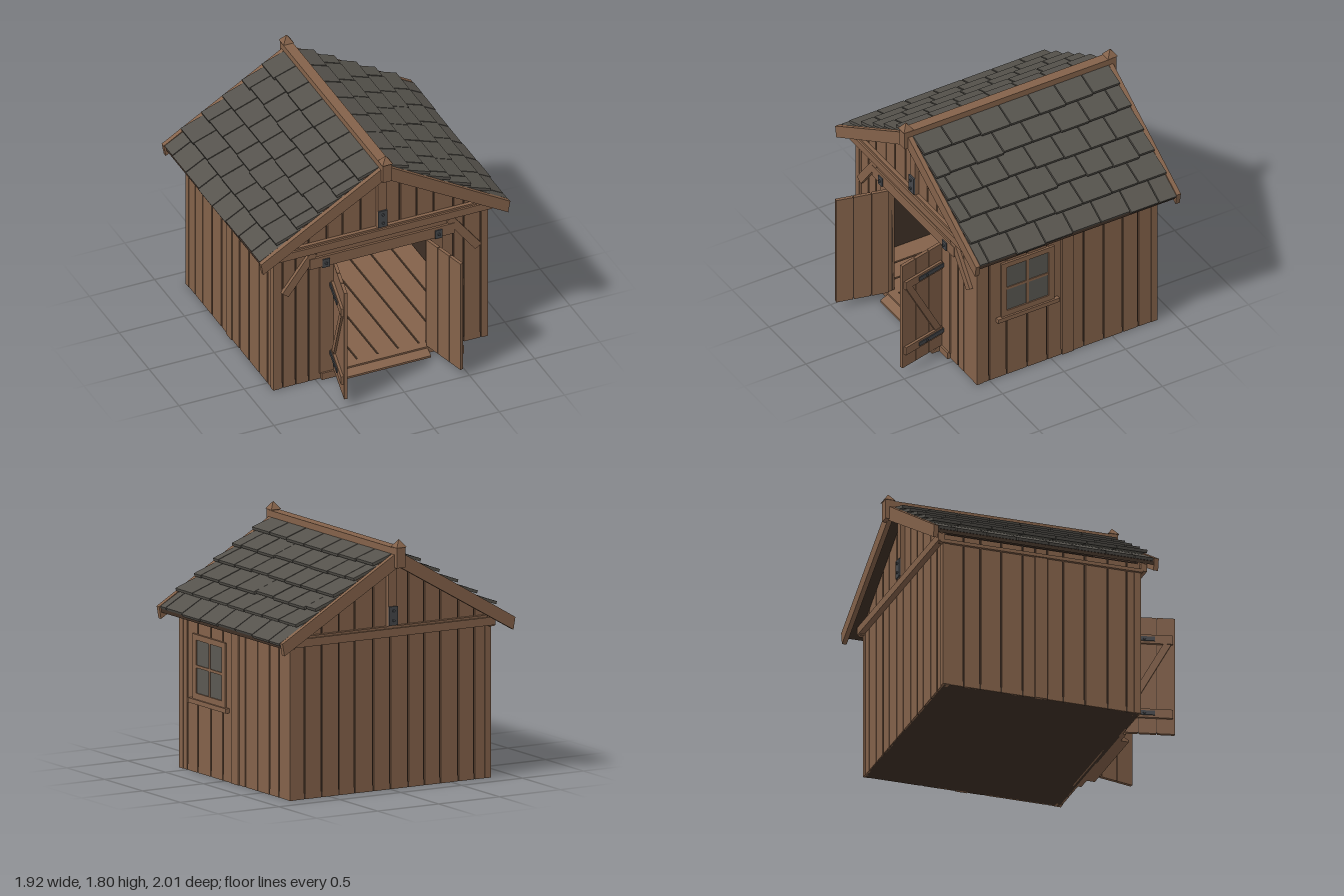
import * as THREE from 'three';

const mat = (name, hex) => {
  const m = new THREE.MeshStandardMaterial({ color: hex });
  m.name = name;
  return m;
};

export function createModel() {
  const wood = mat('wood', 0x84624a);
  const dark = mat('darkWood', 0x3f3026);
  const slate = mat('slate', 0x55524c);
  const iron = mat('iron', 0x45474a);
  const glass = mat('glass', 0x5a5852);

  const shed = new THREE.Group();
  shed.name = 'shed';

  let seed = 7;
  const rand = () => (seed = (seed * 16807) % 2147483647) / 2147483647;

  const add = (name, geo, m, parent = shed) => {
    const mesh = new THREE.Mesh(geo, m);
    mesh.name = name;
    parent.add(mesh);
    return mesh;
  };
  // Box given by its minimum and maximum on each axis
  const box = (name, m, x0, x1, y0, y1, z0, z1, parent = shed) => {
    const b = add(name, new THREE.BoxGeometry(x1 - x0, y1 - y0, z1 - z0), m, parent);
    b.position.set((x0 + x1) / 2, (y0 + y1) / 2, (z0 + z1) / 2);
    return b;
  };
  // Flat outline in x and y, given thickness from z0 to z1
  const slab = (name, m, pts, z0, z1, hole) => {
    const shape = new THREE.Shape(pts.map(p => new THREE.Vector2(...p)));
    if (hole) shape.holes.push(new THREE.Path(hole.map(p => new THREE.Vector2(...p))));
    const s = add(name, new THREE.ExtrudeGeometry(shape, { depth: z1 - z0, bevelEnabled: false }), m);
    s.position.z = z0;
    return s;
  };
  // Straight timber between two points in the x-y plane
  const timber = (name, m, ax, ay, bx, by, w, z, d, parent = shed) => {
    const t = add(name, new THREE.BoxGeometry(Math.hypot(bx - ax, by - ay), w, d), m, parent);
    t.position.set((ax + bx) / 2, (ay + by) / 2, z);
    t.rotation.z = Math.atan2(by - ay, bx - ax);
    return t;
  };
  const bolt = (x, y, z, parent = shed) => {
    const b = add('bolt', new THREE.CylinderGeometry(0.01, 0.01, 0.012, 10), iron, parent);
    b.rotation.x = Math.PI / 2;
    b.position.set(x, y, z);
  };

  const roofY = x => 1.71 - 0.59 * Math.abs(x); // top line of the gable boards
  const gap = 0.006;

  // Wall cores, seen in the gaps and inside
  const gable = [[-0.81, 0], [0.81, 0], [0.81, roofY(0.81) - 0.06], [0, roofY(0) - 0.06], [-0.81, roofY(0.81) - 0.06]];
  slab('frontWallCore', dark, gable, 0.57, 0.588, [[-0.36, 0.03], [-0.36, 0.96], [0.36, 0.96], [0.36, 0.03]]);
  slab('backWallCore', dark, gable, -0.848, -0.83);
  for (const s of [-1, 1]) {
    const x = s * 0.799;
    box('sideWallCore', dark, x - 0.009, x + 0.009, 0, 1.16, -0.84, 0.58);
  }

  // Front and back planks, cut to the roof slope
  const planks = (name, edges, z0, z1, door) => {
    for (let i = 0; i < edges.length - 1; i++) {
      const a = edges[i] + gap, b = edges[i + 1] - gap;
      const y0 = door && Math.abs((a + b) / 2) < 0.36 ? 0.95 : 0;
      slab(name, wood, [[a, y0], [b, y0], [b, roofY(b) - 0.06], [a, roofY(a) - 0.06]], z0, z1);
    }
  };
  planks('frontPlank', [-0.82, -0.75, -0.65, -0.55, -0.41, -0.29, -0.15, 0, 0.15, 0.28, 0.41, 0.56, 0.64, 0.77, 0.82], 0.586, 0.6, true);
  planks('backPlank', [-0.82, -0.69, -0.56, -0.41, -0.28, -0.15, 0, 0.14, 0.29, 0.42, 0.56, 0.7, 0.82], -0.86, -0.846, false);

  // Side planks, middle post, eave trim and corner boards
  const sideEdges = [-0.86, -0.71, -0.585, -0.43, -0.27, -0.18, -0.09, 0.03, 0.19, 0.36, 0.5, 0.6];
  for (const s of [-1, 1]) {
    const sideBox = (name, m, a, b, y0, y1, z0, z1) => box(name, m, Math.min(s * a, s * b), Math.max(s * a, s * b), y0, y1, z0, z1);
    for (let i = 0; i < sideEdges.length - 1; i++)
      sideBox('sidePlank', wood, 0.806, 0.82, 0, 1.15, sideEdges[i] + gap, sideEdges[i + 1] - gap);
    sideBox('sidePost', wood, 0.806, 0.828, 0, 1.08, -0.18, -0.09);
    sideBox('eaveTrim', wood, 0.8, 0.84, 1.08, 1.105, -0.89, 0.615);
    sideBox('frontCornerBoard', wood, 0.775, 0.824, 0, 1.09, 0.555, 0.604);
    sideBox('backCornerBoard', wood, 0.775, 0.824, 0, 1.09, -0.864, -0.815);
  }

  // Floor
  box('floorBase', dark, -0.815, 0.815, 0, 0.04, -0.855, 0.595);
  for (let i = 0; i < 10; i++)
    box('floorBoard', wood, -0.79 + i * 0.158 + gap, -0.632 + i * 0.158 - gap, 0.035, 0.05, -0.83, 0.57);

  // Doorway: threshold, ramp, jambs, lintel, braces
  box('threshold', wood, -0.46, 0.46, 0, 0.055, 0.56, 0.625);
  const ramp = slab('ramp', wood, [[-0.62, 0], [-0.62, 0.045], [-0.685, 0.015], [-0.685, 0]], -0.35, 0.35);
  ramp.rotation.y = Math.PI / 2;
  ramp.position.set(-0.35, 0, 0);
  box('lintel', wood, -0.555, 0.555, 0.955, 1.04, 0.595, 0.63);
  box('lintelCap', wood, -0.5, 0.5, 1.045, 1.09, 0.595, 0.62);
  for (const s of [-1, 1]) {
    box('doorJamb', wood, s * 0.415 - 0.055, s * 0.415 + 0.055, 0.05, 0.955, 0.565, 0.612);
    timber('brace', wood, s * 0.52, 1.08, s * 0.74, 0.79, 0.06, 0.611, 0.03);
    box('lintelPlate', iron, s * 0.433 - 0.027, s * 0.433 + 0.027, 0.95, 1.018, 0.625, 0.638);
    bolt(s * 0.433, 0.985, 0.642);
  }

  // Open doors, each hung at its jamb
  for (const s of [-1, 1]) {
    const door = new THREE.Group();
    door.name = s > 0 ? 'leftDoor' : 'rightDoor';
    door.position.set(s * 0.355, 0, 0.615);
    door.rotation.y = -(Math.PI / 2 - s * 0.235);
    const o = -s; // outer side
    for (let i = 0; i < 3; i++)
      box('doorPlank', wood, i * 0.13 + 0.002, i * 0.13 + 0.126, 0.06, 0.95, -0.012, 0.012, door);
    box('doorCore', dark, 0.01, 0.38, 0.07, 0.94, -0.006, 0.006, door);
    for (const y of [0.207, 0.777]) {
      const rz = o * 0.021, sz = o * 0.034;
      box('doorRail', wood, 0.015, 0.37, y - 0.033, y + 0.033, rz - 0.01, rz + 0.01, door);
      box('hingeStrap', iron, -0.015, 0.245, y - 0.016, y + 0.016, sz - 0.005, sz + 0.005, door);
      bolt(0.17, y, o * 0.04, door);
    }
    timber('doorBrace', wood, 0.05, 0.235, 0.335, 0.75, 0.05, o * 0.02, 0.016, door);
    shed.add(door);
  }

  // Window on the left side
  const zc = 0.195;
  box('windowPane', glass, 0.81, 0.826, 0.56, 0.95, 0.02, 0.375);
  for (const e of [-1, 1])
    box('windowStile', wood, 0.81, 0.836, 0.525, 0.985, zc + e * 0.192 - 0.023, zc + e * 0.192 + 0.023);
  box('windowTop', wood, 0.81, 0.836, 0.945, 0.985, 0.02, 0.37);
  box('windowBottom', wood, 0.81, 0.836, 0.525, 0.568, 0.02, 0.37);
  box('windowMullion', wood, 0.81, 0.832, 0.56, 0.95, zc - 0.01, zc + 0.01);
  box('windowBar', wood, 0.81, 0.832, 0.747, 0.767, 0.02, 0.37);
  box('windowSill', wood, 0.81, 0.85, 0.492, 0.525, -0.055, 0.445);

  // Gable trim, the same at both ends
  for (const [e, wall, end] of [[1, 0.598, 0.655], [-1, -0.858, -0.943]]) {
    const span = (a, b) => [Math.min(a, b), Math.max(a, b)];
    box('tieBeam', wood, -0.84, 0.84, 1.09, 1.148, ...span(wall, wall + e * 0.045));
    box('tieBeamCap', wood, -0.78, 0.78, 1.148, 1.163, ...span(wall, wall + e * 0.03));
    box('kingPost', wood, -0.035, 0.035, 1.163, 1.64, ...span(wall, wall + e * 0.035));
    box('postPlate', iron, -0.035, 0.035, 1.17, 1.305, ...span(wall + e * 0.035, wall + e * 0.047));
    bolt(0, 1.205, wall + e * 0.05);
    bolt(0, 1.275, wall + e * 0.05);
    for (const s of [-1, 1])
      slab('bargeBoard', wood, [[0, 1.6], [s * 0.94, 1.058], [s * 0.956, 1.146], [0, 1.71]], ...span(end, end + e * 0.034));
    box('finialPost', wood, -0.035, 0.035, 1.595, 1.745, ...span(end, end + e * 0.062));
    const tip = add('finialTip', new THREE.ConeGeometry(0.057, 0.055, 4).toNonIndexed(), wood);
    tip.geometry.computeVertexNormals();
    tip.rotation.y = Math.PI / 4;
    tip.position.set(0, 1.768, end + e * 0.031);
  }

  // Roof deck and ridge
  const lower = (x, d) => [x, roofY(x) - d];
  slab('roofDeck', dark, [lower(0, 0.028), lower(-0.935, 0.028), lower(-0.935, 0.055), lower(0, 0.055), lower(0.935, 0.055), lower(0.935, 0.028)], -0.943, 0.655);
  box('ridgeBeam', wood, -0.037, 0.037, 1.685, 1.735, -0.975, 0.688);

  // Overlapping shingle rows on both slopes
  const z0 = -0.943, z1 = 0.655, thick = 0.022;
  for (const s of [-1, 1]) {
    for (let r = 0; r < 6; r++) {
      const last = r === 5;
      let z = z0;
      let width = r % 2 ? 0.13 : 0.22;
      while (z < z1 - 0.01) {
        let next = z + width + (rand() - 0.5) * 0.03;
        if (z1 - next < 0.07) next = z1;
        const tail = (last ? 0.955 : 0.2 + r * 0.157) + (rand() - 0.5) * 0.014;
        const head = Math.max(0.012, tail - 0.21);
        const yh = roofY(head) - 0.006, yt = roofY(tail) + (last ? 0 : 0.043);
        const tilt = Math.atan2(yh - yt, tail - head);
        const tile = add('shingle', new THREE.BoxGeometry(Math.hypot(tail - head, yh - yt), thick, next - z - 0.008), slate);
        tile.position.set(s * ((head + tail) / 2 - Math.sin(tilt) * thick / 2), (yh + yt) / 2 - Math.cos(tilt) * thick / 2, (z + next) / 2);
        tile.rotation.z = -s * tilt;
        z = next;
        width = 0.225;
      }
    }
  }
  return shed;
}
